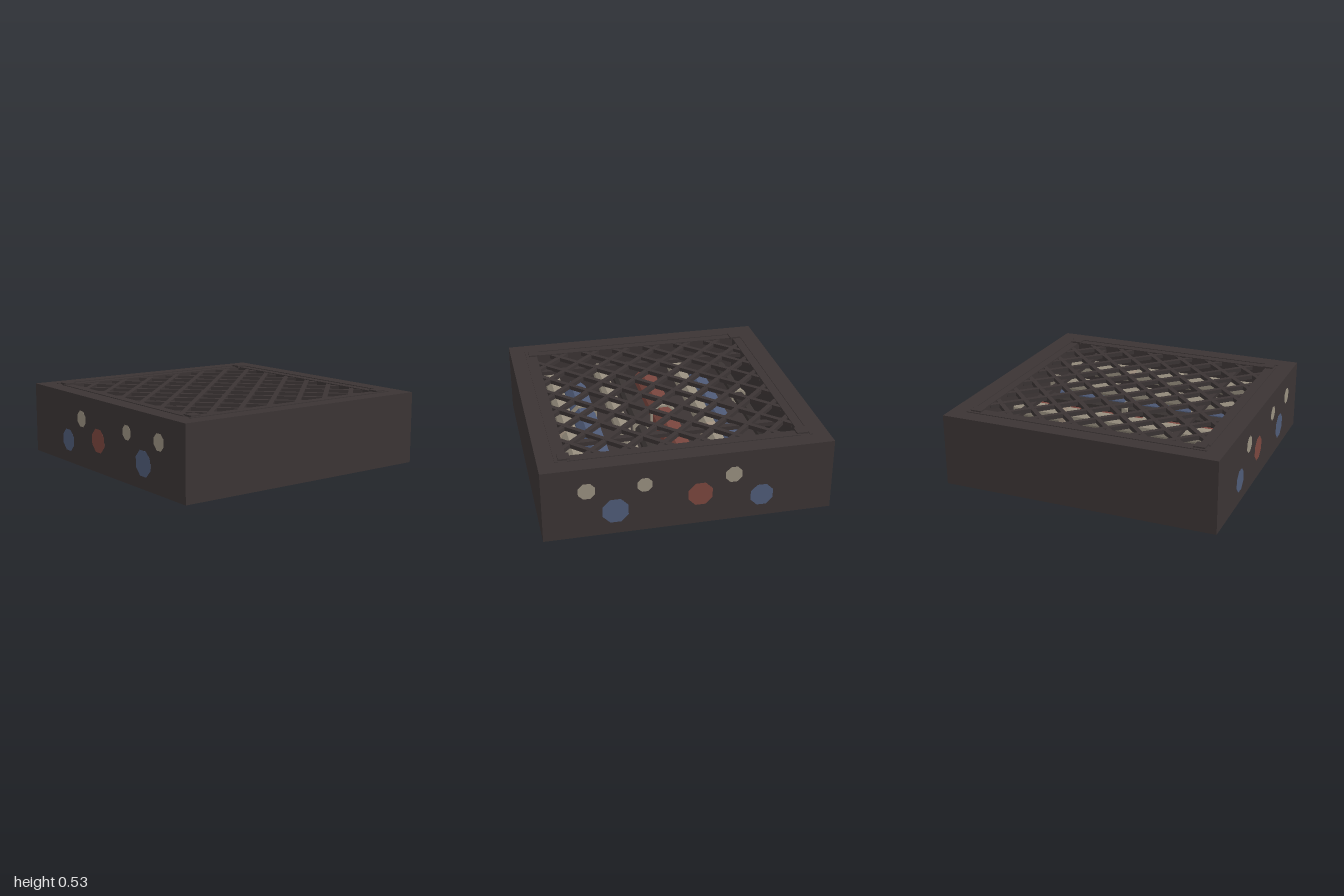
import * as THREE from 'three';

export function createModel() {
  const model = new THREE.Group();
  const material = (name, color, extra = {}) => {
    const m = new THREE.MeshStandardMaterial({ color, ...extra });
    m.name = name;
    return m;
  };
  const flat = { flatShading: true };
  const iron = material('darkIron', 0x3b3434);
  const darkPipe = material('darkPipe', 0x3a3433, flat);
  const blue = material('bluePaint', 0x4f5b78, flat);
  const cream = material('creamPaint', 0x999080, flat);
  const red = material('redPaint', 0x7a463e, flat);
  const tan = material('tanPaint', 0xa39382, flat);

  const add = (name, geometry, mat, x = 0, y = 0, z = 0) => {
    const mesh = new THREE.Mesh(geometry, mat);
    mesh.name = name;
    mesh.position.set(x, y, z);
    model.add(mesh);
    return mesh;
  };
  const box = (name, w, h, d, x, y, z) =>
    add(name, new THREE.BoxGeometry(w, h, d), iron, x, y, z);

  // Open tray: square walls around the pit, plus the floor
  const square = (Type, r) => new Type([[-r, -r], [r, -r], [r, r], [-r, r]]
    .map(([x, y]) => new THREE.Vector2(x, y)));
  const outline = square(THREE.Shape, 1);
  outline.holes.push(square(THREE.Path, 0.8));
  const walls = new THREE.ExtrudeGeometry(outline, { depth: 0.52, bevelEnabled: false });
  add('walls', walls.rotateX(-Math.PI / 2), iron);
  box('floor', 1.62, 0.04, 1.62, 0, 0.02, 0);

  // Raised rails and corner plates around the grate
  for (const s of [-1, 1]) {
    box('longRail', 1.76, 0.006, 0.02, 0, 0.522, s * 0.875);
    box('sideRail', 0.015, 0.006, 1.6, s * 0.87, 0.522, 0);
    for (const t of [-1, 1]) box('cornerPlate', 0.08, 0.02, 0.08, s * 0.82, 0.522, t * 0.82);
    // Support bars below the lattice
    box('supportBar', 0.045, 0.03, 1.62, s * 0.575, 0.475, 0);
  }

  // Diagonal lattice, each bar clipped to the opening
  const pitch = 0.25, reach = 0.81;
  for (let i = -6; i <= 6; i++) {
    const c = (i + 0.5) * pitch;
    if (Math.abs(c) > 2 * reach - 0.05) continue;
    const length = (2 * reach - Math.abs(c)) * Math.SQRT2;
    for (const s of [-1, 1]) {
      const bar = box('latticeBar', length, 0.03, 0.034, c / 2, s > 0 ? 0.5 : 0.499, s * c / 2);
      bar.rotation.y = s * Math.PI / 4;
    }
  }

  // Octagonal pipes lying along x, each with a coupling ring
  const tube = (r, length) => new THREE.CylinderGeometry(r, r, length, 8)
    .rotateY(Math.PI / 8).rotateZ(Math.PI / 2);
  const pipes = [
    // z, y, radius, paint, ring x, ring paint
    [-0.70, 0.27, 0.045, darkPipe, -0.26, cream],
    [-0.50, 0.165, 0.085, blue, null, null],
    [-0.30, 0.35, 0.062, cream, 0.40, tan],
    [-0.07, 0.228, 0.09, red, -0.14, cream],
    [0.155, 0.27, 0.045, darkPipe, 0.10, cream],
    [0.31, 0.35, 0.055, cream, null, null],
    [0.51, 0.175, 0.095, blue, -0.35, cream],
    [0.70, 0.35, 0.062, cream, 0.25, tan],
  ];
  for (const [z, y, r, paint, ringX, ringPaint] of pipes) {
    // dark pipes stop inside the walls; painted ones show their ends
    add('pipe', tube(r, paint === darkPipe ? 1.99 : 2.001), paint, 0, y, z);
    if (ringX !== null) add('coupling', tube(r + 0.015, 0.045), ringPaint, ringX, y, z);
  }
  return model;
}
